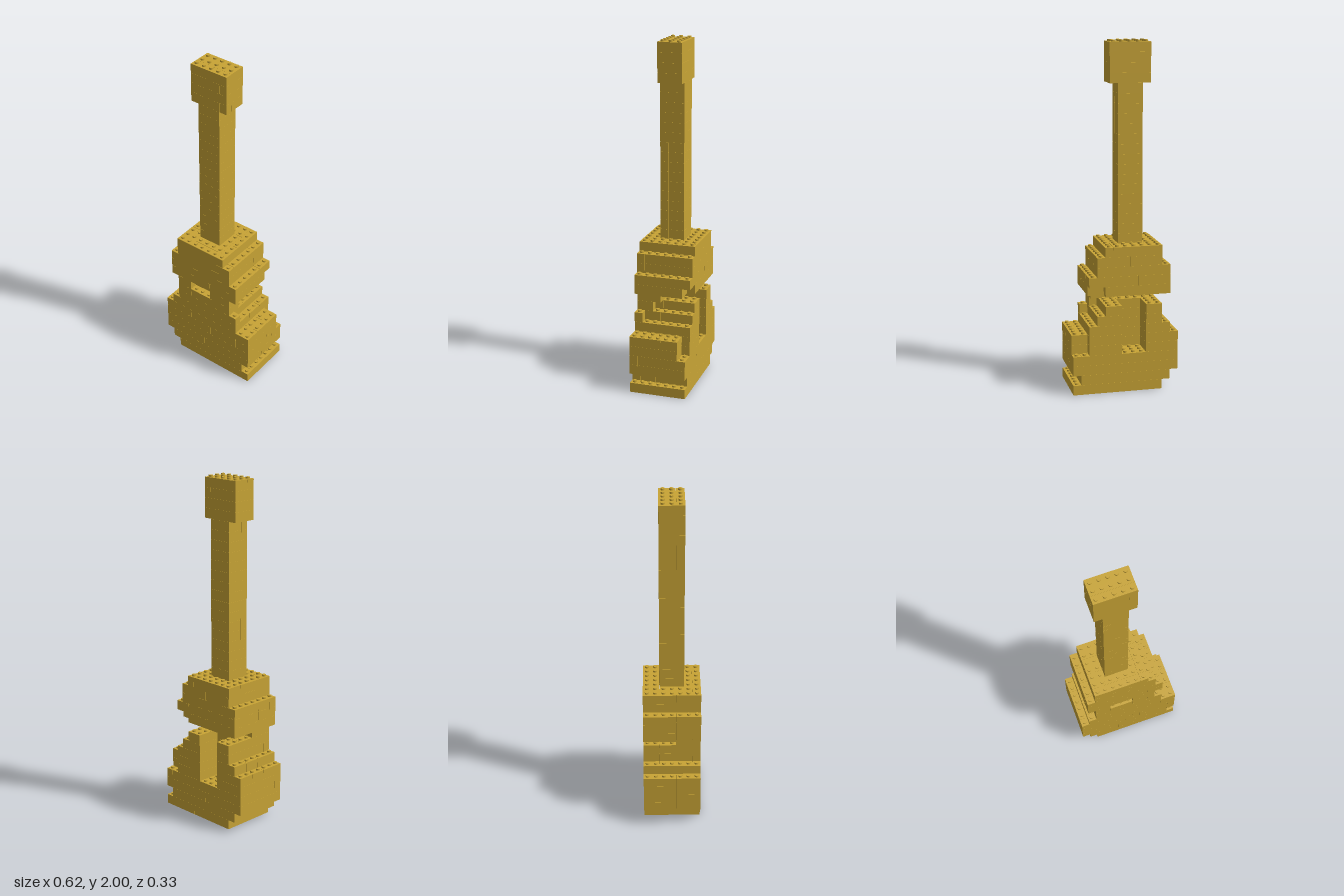
import * as THREE from 'three';
import { mergeGeometries } from 'three/addons/utils/BufferGeometryUtils.js';

// Brick grid: 13 columns (x), 7 rows (z, back to front), 35 layers (y)
const COLS = 13, ROWS = 7, LAYERS = 35;
const P = 0.0474, H = 0.05686, GAP = 0.0008;
const STUD_R = 0.0113, STUD_H = 0.01;

// [first layer, last layer, first column, last column, first row, last row]
const FILL = [
  // lower body
  [0, 0, 2, 12, 0, 6], [1, 1, 1, 11, 0, 6], [2, 5, 0, 12, 0, 6], [6, 6, 1, 10, 0, 6],
  [7, 7, 2, 9, 0, 6], [7, 7, 10, 10, 6, 6],
  [8, 8, 2, 8, 0, 6], [8, 8, 9, 9, 5, 6],
  // waist
  [9, 9, 2, 9, 4, 6],
  // upper body
  [10, 11, 1, 10, 0, 6], [12, 12, 1, 9, 0, 6], [13, 13, 2, 9, 0, 6], [14, 14, 2, 8, 0, 6],
  // neck and head
  [15, 30, 4, 6, 2, 4], [31, 34, 3, 7, 2, 4],
];
const CUT = [
  [4, 5, 11, 12, 0, 0],   // back corner notch
  [4, 8, 4, 6, 0, 2],     // recess in the back
  [9, 9, 5, 6, 4, 6],     // sound hole
  [9, 9, 4, 4, 6, 6],
  [10, 10, 9, 10, 0, 0],  // notch under the upper body
];
const SECTIONS = [['lowerBody', 0, 8], ['waist', 9, 9], ['upperBody', 10, 14], ['neck', 15, 30], ['head', 31, 34]];

const key = (l, c, r) => (l * ROWS + r) * COLS + c;

function makeGrid() {
  const grid = new Uint8Array((LAYERS + 1) * ROWS * COLS);
  const paint = (boxes, value) => {
    for (const [l0, l1, c0, c1, r0, r1] of boxes)
      for (let l = l0; l <= l1; l++)
        for (let r = r0; r <= r1; r++)
          for (let c = c0; c <= c1; c++) grid[key(l, c, r)] = value;
  };
  paint(FILL, 1);
  paint(CUT, 0);
  return grid;
}

// Split one layer into bricks up to two rows deep
function layerBricks(grid, l) {
  const used = new Set(), bricks = [];
  const free = (c, r) => c < COLS && r < ROWS && grid[key(l, c, r)] && !used.has(key(l, c, r));
  const maxLength = l % 2 ? 4 : 6;
  for (let r = 0; r < ROWS; r++) {
    for (let c = 0; c < COLS; c++) {
      if (!free(c, r)) continue;
      let w = 1, d = 2;
      while (w < maxLength && free(c + w, r)) w++;
      for (let i = 0; i < w; i++) if (!free(c + i, r + 1)) d = 1;
      for (let i = 0; i < w; i++)
        for (let j = 0; j < d; j++) used.add(key(l, c + i, r + j));
      const g = new THREE.BoxGeometry(w * P - GAP, H - GAP / 2, d * P - GAP);
      g.translate((c + w / 2 - COLS / 2) * P, (l + 0.5) * H, (r + d / 2 - ROWS / 2) * P);
      bricks.push(g);
    }
  }
  return bricks;
}

// Studs stand wherever nothing lies on top
function layerStuds(grid, l) {
  const studs = [];
  for (let r = 0; r < ROWS; r++) {
    for (let c = 0; c < COLS; c++) {
      if (!grid[key(l, c, r)] || grid[key(l + 1, c, r)]) continue;
      const g = new THREE.CylinderGeometry(STUD_R, STUD_R, STUD_H, 16);
      g.translate((c + 0.5 - COLS / 2) * P, (l + 1) * H + STUD_H / 2 - GAP / 4, (r + 0.5 - ROWS / 2) * P);
      studs.push(g);
    }
  }
  return studs;
}

export function createModel() {
  const model = new THREE.Group();
  model.name = 'brickGuitar';
  const gold = new THREE.MeshStandardMaterial({ color: 0xc8a435 });
  gold.name = 'gold';
  const grid = makeGrid();

  for (const [name, first, last] of SECTIONS) {
    const section = new THREE.Group();
    section.name = name;
    const bricks = [], studs = [];
    for (let l = first; l <= last; l++) {
      bricks.push(...layerBricks(grid, l));
      studs.push(...layerStuds(grid, l));
    }
    for (const [part, list] of [['Bricks', bricks], ['Studs', studs]]) {
      if (!list.length) continue;
      const mesh = new THREE.Mesh(mergeGeometries(list), gold);
      mesh.name = name + part;
      section.add(mesh);
    }
    model.add(section);
  }
  return model;
}
